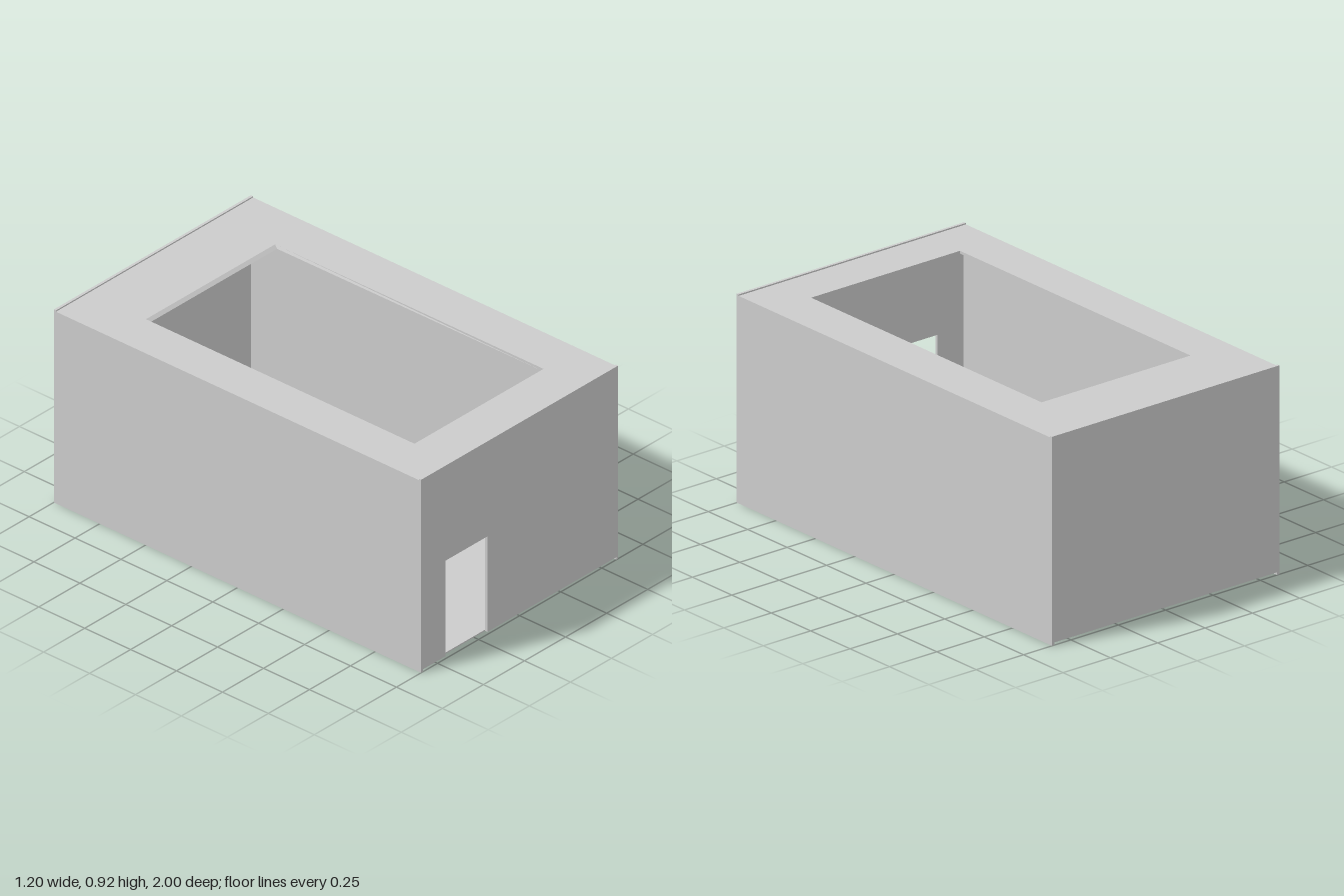
import * as THREE from 'three';

const material = new THREE.MeshStandardMaterial({ color: 0xcccccc, flatShading: true, side: THREE.DoubleSide });
const W = 0.6, D = 1, T = 0.012, FLOOR = 0.012, ROOF = 0.91, TOP = 0.916;

function add(group, name, geometry) {
  const mesh = new THREE.Mesh(geometry, material);
  mesh.name = name;
  group.add(mesh);
  return mesh;
}

// Box given by its minimum and maximum corners
function block(group, name, a, b) {
  const mesh = add(group, name, new THREE.BoxGeometry(b[0] - a[0], b[1] - a[1], b[2] - a[2]));
  mesh.position.set((a[0] + b[0]) / 2, (a[1] + b[1]) / 2, (a[2] + b[2]) / 2);
}

const points = list => list.map(([x, y]) => new THREE.Vector2(x, y));

// Flat horizontal sheet with an opening; shape y becomes z
function sheet(outer, hole, y) {
  const shape = new THREE.Shape(points(outer));
  shape.holes.push(new THREE.Path(points(hole)));
  return new THREE.ShapeGeometry(shape).rotateX(Math.PI / 2).translate(0, y, 0);
}

export function createModel() {
  const room = new THREE.Group();
  room.name = 'room';

  // Side walls stand on the ground, the floor sits slightly above it
  for (const [name, s] of [['leftWall', 1], ['rightWall', -1]]) {
    const x = [s * W, s * (W - T)].sort((p, q) => p - q);
    block(room, name, [x[0], 0, -D + T], [x[1], ROOF, D - T]);
    // Short feet at the ends of each side wall
    for (const z of [-D, D - T]) block(room, 'cornerFoot', [x[0], 0, z], [x[1], FLOOR, z + T]);
  }
  block(room, 'floor', [-W + T, FLOOR, -D + T], [W - T, FLOOR + 0.006, D - T]);
  block(room, 'backWall', [-W, FLOOR, -D], [W, TOP, -D + T]);

  // Front wall, its outline stepping around the doorway
  const front = new THREE.Shape(points([
    [-W, FLOOR], [-0.45, FLOOR], [-0.45, 0.465], [-0.197, 0.465],
    [-0.197, FLOOR], [W, FLOOR], [W, TOP], [-W, TOP],
  ]));
  add(room, 'frontWall', new THREE.ExtrudeGeometry(front, { depth: T, bevelEnabled: false }))
    .position.z = D - T;

  // Roof: upper and lower sheets joined by a lip around the opening
  const x = W - T, z = D - T, under = ROOF - T;
  const outer = [[-x, -z], [x, -z], [x, z], [-x, z]];
  const upperHole = [[-0.4, -0.677], [0.386, -0.677], [0.386, 0.785], [-0.4, 0.785]];
  const lowerHole = [[-0.4, -0.661], [0.38, -0.661], [0.386, 0.785], [-0.4, 0.785]];
  add(room, 'roofTop', sheet(outer, upperHole, ROOF));
  add(room, 'ceiling', sheet(outer, lowerHole, under));

  const verts = [];
  for (let i = 0; i < 4; i++) {
    const j = (i + 1) % 4;
    const at = (p, y) => [p[0], y, p[1]];
    const a = at(upperHole[i], ROOF), b = at(upperHole[j], ROOF);
    const c = at(lowerHole[j], under), d = at(lowerHole[i], under);
    verts.push(...a, ...d, ...c, ...a, ...c, ...b);
  }
  const lip = new THREE.BufferGeometry();
  lip.setAttribute('position', new THREE.Float32BufferAttribute(verts, 3));
  lip.computeVertexNormals();
  add(room, 'openingLip', lip);

  return room;
}
